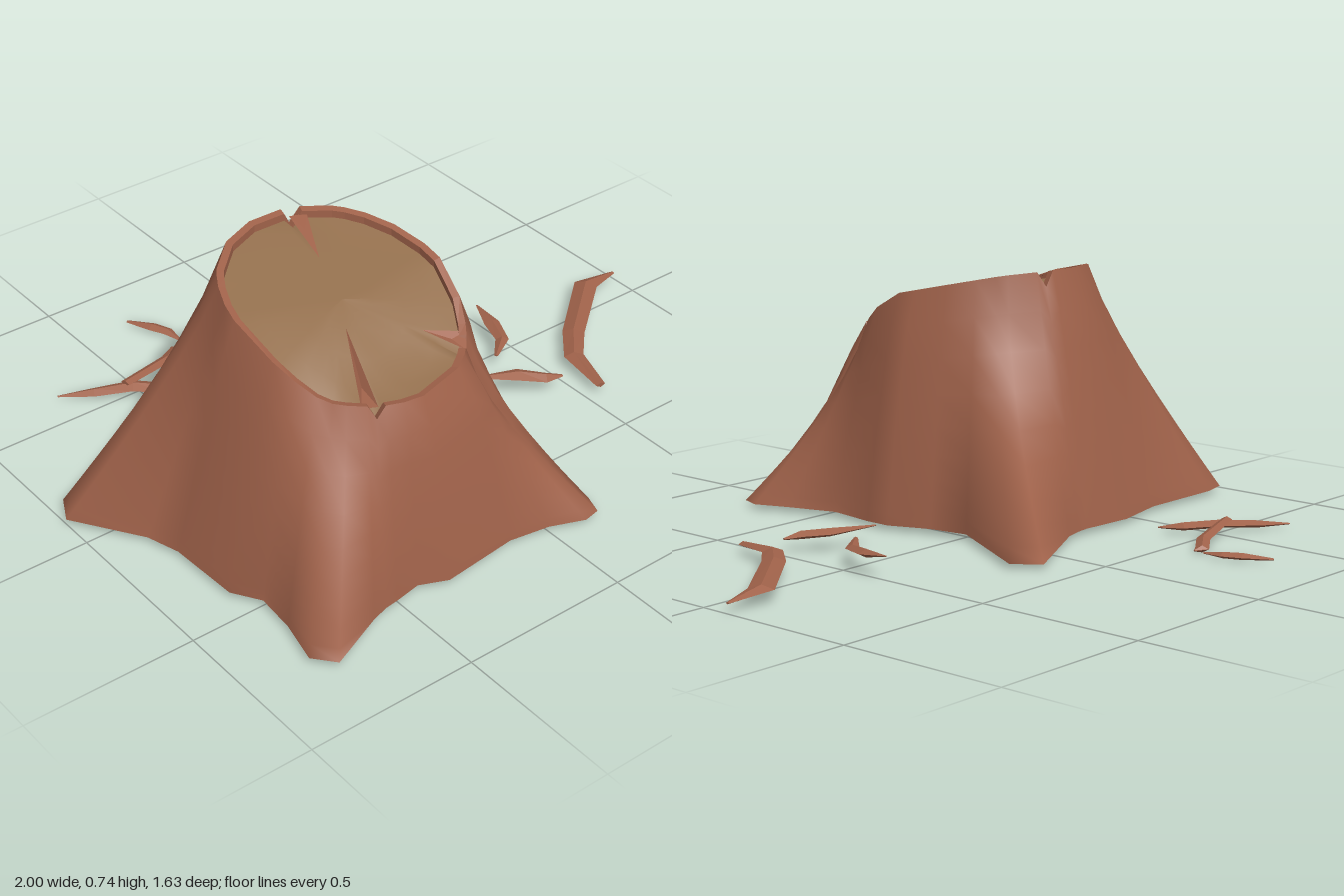
import * as THREE from 'three';

const bark = new THREE.MeshStandardMaterial({ color: 0xa0624a, side: THREE.DoubleSide });
const barkFlat = new THREE.MeshStandardMaterial({ color: 0xa0624a, flatShading: true, side: THREE.DoubleSide });
const wood = new THREE.MeshStandardMaterial({ color: 0x94704e, side: THREE.DoubleSide });

const CX = -0.34, CZ = 0.27, BASE = 0.02;

// Ground outline: x, z, flare exponent (high = low spreading root), notch depth at the rim
const outline = [
  // right side
  [0.03, -0.02, 1], [0.05, 0.1, 0.8], [0.1, 0.22, 0.7], [0.1, 0.3, 0.7], [0.08, 0.45, 0.8], [0.13, 0.6, 1.1],
  // front right root
  [0.17, 0.7, 1.3], [0.15, 0.76, 1.3, 0.045], [0.1, 0.77, 1.3],
  // front
  [0, 0.73, 0.9], [-0.12, 0.71, 0.7], [-0.35, 0.735, 0.6], [-0.43, 0.7, 0.6], [-0.51, 0.715, 0.7],
  [-0.55, 0.72, 0.8, 0.04], [-0.6, 0.735, 0.9],
  // front left root
  [-0.77, 0.81, 1.2], [-0.82, 0.75, 1.2],
  // left side
  [-0.79, 0.62, 0.9], [-0.78, 0.5, 0.8], [-0.83, 0.42, 0.9], [-0.84, 0.2, 0.9], [-0.87, 0.1, 1],
  // back left root
  [-1, -0.1, 1.15], [-0.96, -0.18, 1.15], [-0.88, -0.2, 1.1],
  // back
  [-0.6, -0.2, 0.9], [-0.42, -0.24, 0.85], [-0.25, -0.23, 0.85], [-0.21, -0.235, 0.9, 0.045], [-0.15, -0.25, 1.1],
  // back right root
  [0.14, -0.4, 1.9], [0.2, -0.33, 1.9],
];

// Height of the slanted cut at depth z
const cutProfile = [[-0.08, 0.745], [0, 0.735], [0.3, 0.67], [0.4, 0.62], [0.5, 0.555], [0.62, 0.54]];
function cutHeight(z) {
  for (let i = 1; i < cutProfile.length; i++) {
    const [z0, y0] = cutProfile[i - 1], [z1, y1] = cutProfile[i];
    if (z <= z1) return y0 + (y1 - y0) * Math.max(0, (z - z0) / (z1 - z0));
  }
  return 0.54;
}

// Skin closed rows of points, ordered from the cut's centre outward and down
function loft(rows) {
  const n = rows[0].length, index = [];
  for (let r = 0; r < rows.length - 1; r++) {
    for (let i = 0; i < n; i++) {
      const j = (i + 1) % n;
      const a = r * n + i, b = r * n + j, c = a + n, d = b + n;
      index.push(a, b, c, b, d, c);
    }
  }
  const geo = new THREE.BufferGeometry();
  geo.setAttribute('position', new THREE.Float32BufferAttribute(rows.flat(2), 3));
  geo.setIndex(index);
  geo.computeVertexNormals();
  return geo;
}

function add(group, name, geo, material) {
  const mesh = new THREE.Mesh(geo, material);
  mesh.name = name;
  group.add(mesh);
}

function createStump() {
  const stump = new THREE.Group();
  stump.name = 'stump';
  const columns = outline.map(([x, z, flare, notch = 0]) => {
    const a = Math.atan2(z - CZ, x - CX);
    const tx = CX + 0.31 * Math.cos(a), tz = CZ + 0.345 * Math.sin(a);
    return { x, z, a, flare, notch, tx, tz, ty: cutHeight(tz) - notch };
  });

  // Bark wall with spreading roots
  const levels = [0, 0.15, 0.3, 0.45, 0.58, 0.7, 0.8, 0.88, 0.95, 1];
  const wall = levels.map(t => columns.map(c => {
    const f = t ** c.flare;
    return [c.tx + (c.x - c.tx) * f, c.ty + (BASE - c.ty) * t, c.tz + (c.z - c.tz) * f];
  }));
  add(stump, 'barkWall', loft(wall), bark);

  // Underside
  add(stump, 'underside', loft([wall.at(-1), columns.map(() => [CX, BASE, CZ])]), bark);

  // Raised bark rim around the cut
  const inset = (c, s, y) => [CX + (c.tx - CX) * s, y, CZ + (c.tz - CZ) * s];
  const edge = columns.map(c => inset(c, 0.94, c.ty - (c.notch ? 0.01 : 0.025)));
  const lip = columns.map(c => inset(c, 0.94, c.ty - 0.004));
  add(stump, 'barkRim', loft([edge, lip, wall[0]]), barkFlat);

  // Cut wood face
  const face = [0, 0.25, 0.5, 0.75].map(s => columns.map(c => {
    const p = inset(c, s, 0);
    p[1] = cutHeight(p[2]) - 0.025;
    return p;
  }));
  add(stump, 'cutFace', loft([...face, edge]), wood);

  // Cracks running in from the rim notches: outer x, z, inner x, z, half width
  const cracks = [[-0.25, -0.04, -0.3, 0.12, 0.025], [-0.11, 0.5, -0.2, 0.43, 0.03], [-0.48, 0.565, -0.39, 0.35, 0.022]];
  for (const [x0, z0, x1, z1, w] of cracks) {
    const len = Math.hypot(x1 - x0, z1 - z0);
    const px = -(z1 - z0) / len * w, pz = (x1 - x0) / len * w;
    const at = (x, z, lift) => [x, cutHeight(z) - 0.025 + lift, z];
    const ring = [at(x0 + px, z0 + pz, 0.012), at(x0 - px, z0 - pz, 0.012), at(x1, z1, 0.006)];
    const mid = at((x0 * 2 + x1) / 3, (z0 * 2 + z1) / 3, 0.008);
    add(stump, 'crack', loft([ring.map(() => mid), ring]), barkFlat);
  }
  return stump;
}

// Splinters: stations along the length as x, y, z, half width
const splinters = [
  [[0.55, 0.03, 0.34, 0.015], [0.58, 0.04, 0.19, 0.03], [0.66, 0.043, 0.1, 0.033], [0.87, 0.04, -0.075, 0.036], [0.995, 0.03, -0.085, 0.006]],
  [[0.38, 0.06, 0.07, 0.006], [0.455, 0.055, 0.01, 0.02], [0.483, 0.06, -0.07, 0.024], [0.5, 0.07, -0.16, 0.003]],
  [[0.25, 0.064, 0.12, 0.004], [0.37, 0.056, 0.18, 0.03], [0.43, 0.05, 0.235, 0.025], [0.48, 0.045, 0.25, 0.006]],
  [[-0.335, 0.014, -0.815, 0.006], [-0.295, 0.017, -0.74, 0.02], [-0.272, 0.017, -0.69, 0.018], [-0.266, 0.014, -0.63, 0.004]],
  [[-0.71, 0.014, -0.61, 0.004], [-0.62, 0.02, -0.555, 0.022], [-0.52, 0.03, -0.5, 0.028], [-0.44, 0.025, -0.43, 0.026], [-0.4, 0.02, -0.37, 0.004]],
  [[-0.54, 0.042, -0.51, 0.016], [-0.36, 0.025, -0.56, 0.02], [-0.3, 0.014, -0.6, 0.02], [-0.275, 0.012, -0.592, 0.004]],
];

// Thin blade with a diamond cross-section, pointed at both ends
function splinterGeometry(stations) {
  const rows = stations.map(([x, y, z, w], i) => {
    const p = stations[Math.max(0, i - 1)], q = stations[Math.min(stations.length - 1, i + 1)];
    const dx = q[0] - p[0], dz = q[2] - p[2], len = Math.hypot(dx, dz);
    const sx = -dz / len * w, sz = dx / len * w, h = Math.min(0.012, w * 0.5);
    return [[x + sx, y, z + sz], [x, y + h, z], [x - sx, y, z - sz], [x, y - h, z]];
  });
  const cap = row => row.map(() => [0, 1, 2].map(k => (row[0][k] + row[2][k]) / 2));
  return loft([cap(rows[0]), ...rows, cap(rows.at(-1))]);
}

export function createModel() {
  const model = new THREE.Group();
  model.name = 'treeStump';
  model.add(createStump());
  const chips = new THREE.Group();
  chips.name = 'splinters';
  for (const s of splinters) add(chips, 'splinter', splinterGeometry(s), barkFlat);
  model.add(chips);
  return model;
}
